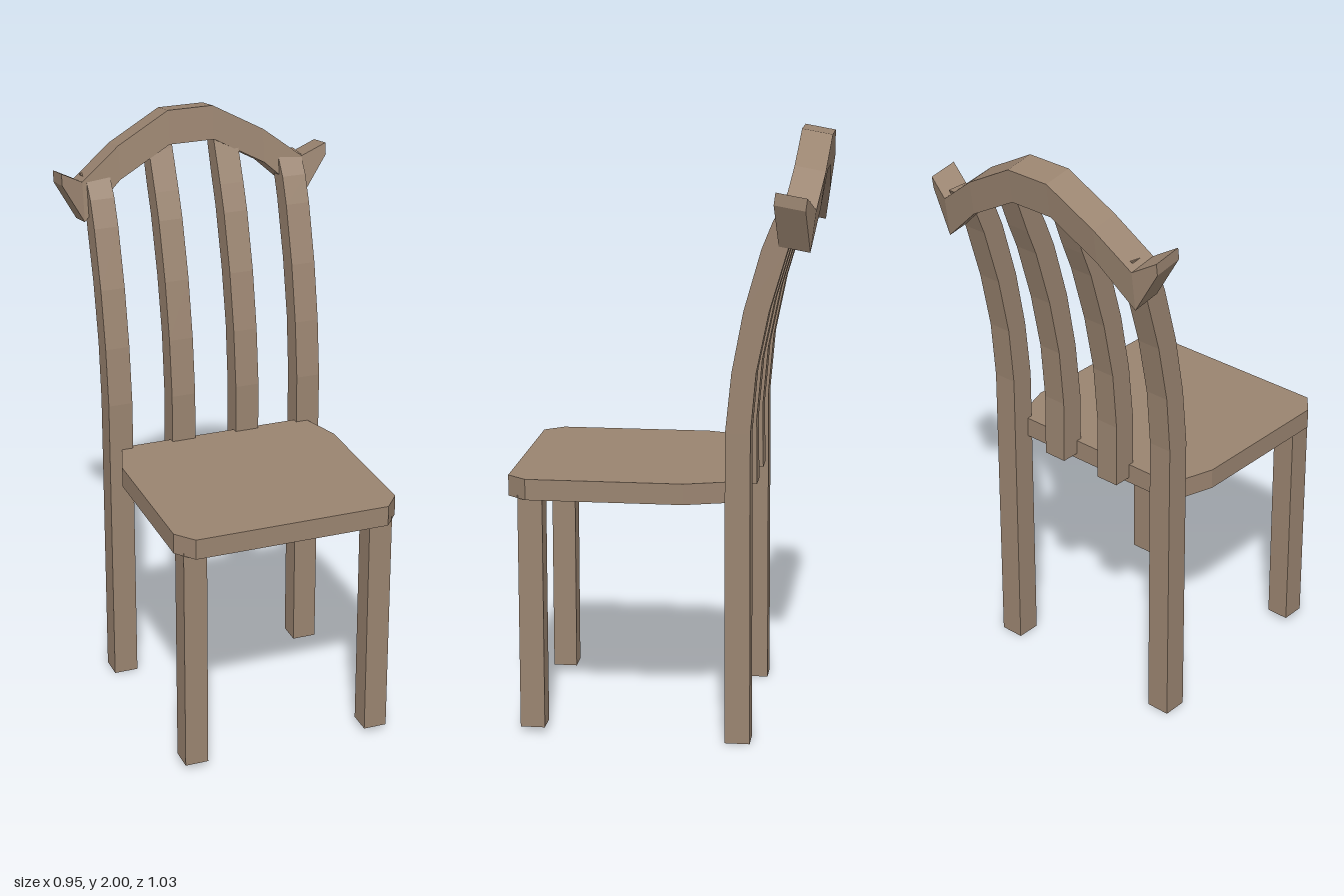
import * as THREE from 'three';

const CX = 0.0075; // the frame sits slightly off the crest's centre line

// Flat-shaded solid lofted through four-cornered sections, capped at both ends
function loft(sections) {
  const pos = [];
  const quad = (a, b, c, d) => [a, b, c, a, c, d].forEach((p) => pos.push(...p));
  for (let i = 0; i < sections.length - 1; i++) {
    const s = sections[i], t = sections[i + 1];
    for (let k = 0; k < 4; k++) {
      const n = (k + 1) % 4;
      quad(s[k], s[n], t[n], t[k]);
    }
  }
  const f = sections[0], l = sections[sections.length - 1];
  quad(f[3], f[2], f[1], f[0]);
  quad(l[0], l[1], l[2], l[3]);
  const geo = new THREE.BufferGeometry();
  geo.setAttribute('position', new THREE.Float32BufferAttribute(pos, 3));
  geo.computeVertexNormals();
  return geo;
}

export function createModel() {
  const group = new THREE.Group();
  const wood = new THREE.MeshStandardMaterial({ color: 0x9a8470 });
  wood.name = 'brown wood';
  const add = (name, geo) => {
    const mesh = new THREE.Mesh(geo, wood);
    mesh.name = name;
    group.add(mesh);
    return mesh;
  };

  // Seat board with clipped corners
  const outline = [
    [-0.338, 0.225], [-0.388, 0.07], [-0.388, -0.45], [-0.335, -0.515],
    [0.335, -0.515], [0.388, -0.45], [0.388, 0.07], [0.338, 0.225],
  ].map(([x, y]) => new THREE.Vector2(x, y));
  const seatGeo = new THREE.ExtrudeGeometry(new THREE.Shape(outline), { depth: 0.07, bevelEnabled: false });
  seatGeo.rotateX(-Math.PI / 2);
  add('seat', seatGeo).position.set(CX, 0.81, 0);

  // Front legs
  for (const side of [-1, 1]) {
    add(side > 0 ? 'leftFrontLeg' : 'rightFrontLeg', new THREE.BoxGeometry(0.08, 0.8, 0.082))
      .position.set(CX + side * 0.325, 0.42, 0.439);
  }

  // Back posts and slats share one backward curve: [height, front z, back z]
  const curve = [
    [1.05, -0.205, -0.287], [1.25, -0.225, -0.304], [1.45, -0.262, -0.344],
    [1.65, -0.318, -0.402], [1.74, -0.354, -0.438],
  ];
  const upright = (name, x, start, end) => {
    const rows = [...start, ...curve, ...end];
    const a = x - 0.042, b = x + 0.042;
    add(name, loft(rows.map(([y, f, r]) => [[a, y, f], [b, y, f], [b, y, r], [a, y, r]])));
  };
  for (const side of [-1, 1]) {
    const hand = side > 0 ? 'left' : 'right';
    upright(hand + 'BackPost', CX + side * 0.345, [[0, -0.208, -0.292]], [[1.8, -0.396, -0.47]]);
    upright(hand + 'Slat', CX + side * 0.117, [[0.83, -0.206, -0.29]],
      [[1.87, -0.412, -0.485], [1.92, -0.43, -0.495]]);
  }

  // Arched crest rail: [x, top y, bottom y, front z of the top edge]
  const half = [
    [0.08, 2.0, 1.885, -0.42], [0.26, 1.9, 1.785, -0.41],
    [0.395, 1.795, 1.66, -0.39], [0.473, 1.84, 1.8, -0.367],
  ];
  const rail = [...half.map(([x, ...r]) => [-x, ...r]).reverse(), ...half];
  add('crestRail', loft(rail.map(([x, top, bottom, z]) => {
    const lean = (top - bottom) * 0.13;
    return [
      [x, bottom, z + lean], [x, bottom - 0.018, z - 0.1 + lean],
      [x, top - 0.018, z - 0.1], [x, top, z],
    ];
  })));

  return group;
}
